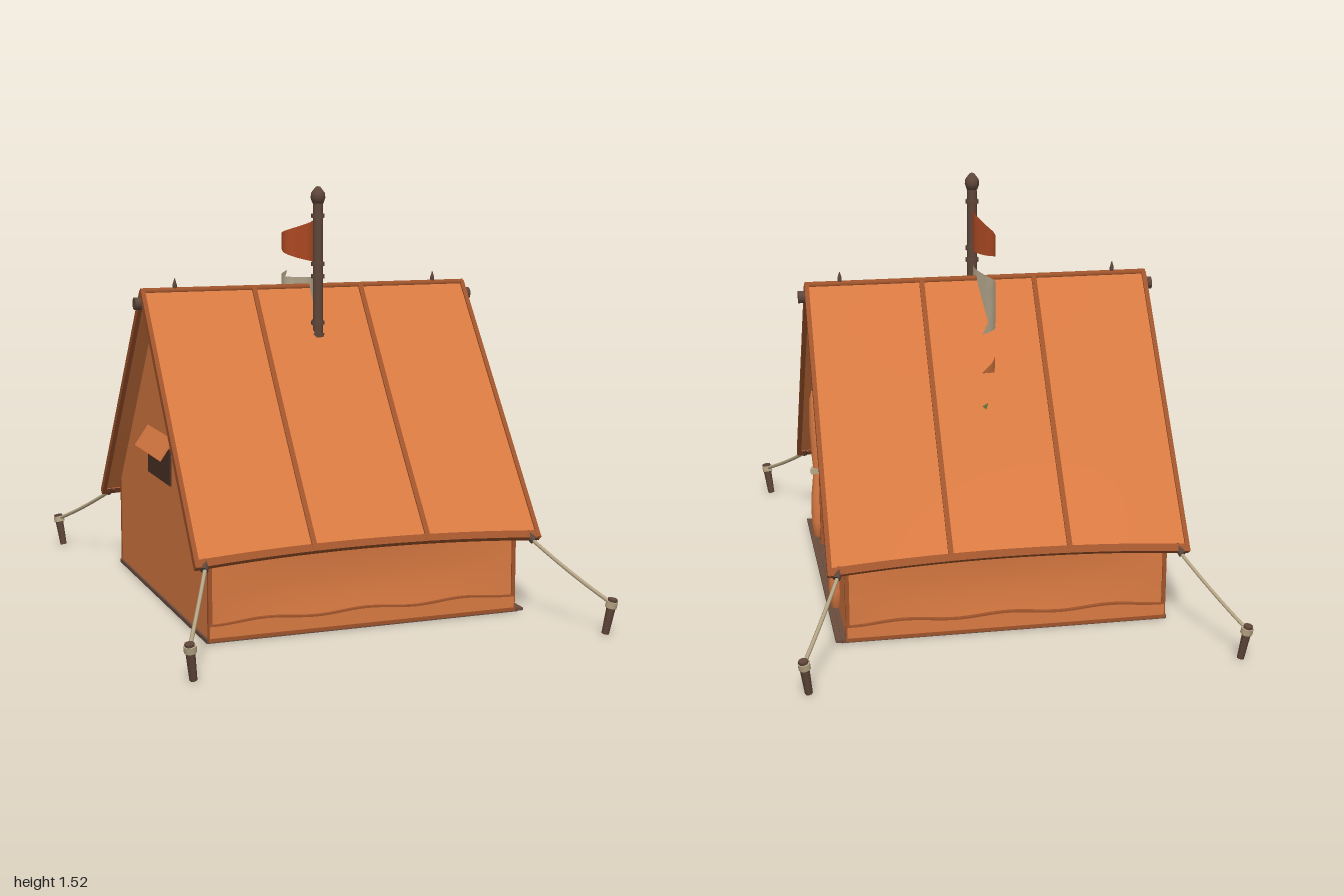
import * as THREE from 'three';
import { ParametricGeometry } from 'three/addons/geometries/ParametricGeometry.js';

const material = (name, color, side = THREE.FrontSide) => {
  const m = new THREE.MeshStandardMaterial({ color, side });
  m.name = name;
  return m;
};

export function createModel() {
  const canvas = material('orange canvas', 0xd97a42, THREE.DoubleSide);
  const trim = material('seam brown', 0xa0542b);
  const wood = material('dark wood', 0x5f463a);
  const ground = material('groundsheet brown', 0x6a4c3d);
  const dark = material('window dark', 0x4a3226);
  const rope = material('rope beige', 0xb9a888);
  const red = material('red cloth', 0xc5542a, THREE.DoubleSide);
  const cream = material('cream cloth', 0xcabb9d, THREE.DoubleSide);
  const green = material('green cloth', 0x7b9748, THREE.DoubleSide);

  const model = new THREE.Group();
  model.name = 'tent';
  const add = (parent, name, geo, mat, x = 0, y = 0, z = 0) => {
    const mesh = new THREE.Mesh(geo, mat);
    mesh.name = name;
    mesh.position.set(x, y, z);
    parent.add(mesh);
    return mesh;
  };
  const box = (parent, name, w, h, d, mat, x, y, z) =>
    add(parent, name, new THREE.BoxGeometry(w, h, d), mat, x, y, z);
  // Round (or square, with 4 sides) bar between two points
  const bar = (parent, name, a, b, r, mat, sides = 10, r2 = r) => {
    const A = new THREE.Vector3(...a), B = new THREE.Vector3(...b);
    const dir = B.clone().sub(A);
    const geo = new THREE.CylinderGeometry(r2, r, dir.length(), sides);
    if (sides === 4) { geo.rotateY(Math.PI / 4); geo.computeVertexNormals(); }
    const mesh = add(parent, name, geo, mat);
    mesh.position.copy(A).add(B).multiplyScalar(0.5);
    mesh.quaternion.setFromUnitVectors(new THREE.Vector3(0, 1, 0), dir.normalize());
    return mesh;
  };
  const warp = (geo, rule) => {
    const p = geo.attributes.position, v = new THREE.Vector3();
    for (let i = 0; i < p.count; i++) {
      rule(v.fromBufferAttribute(p, i));
      p.setXYZ(i, v.x, v.y, v.z);
    }
    geo.computeVertexNormals();
    return geo;
  };

  // Groundsheet
  box(model, 'groundsheet', 1.17, 0.014, 1.2, ground, 0.005, 0.007, 0);
  box(model, 'threshold', 0.05, 0.01, 1.2, ground, 0.585, 0.007, 0);

  // Roof slope pieces follow one sagging surface: t runs from ridge to eave
  const slope = (parent, name, w, t0, t1, thick, x, lift, mat) => {
    const geo = new THREE.BoxGeometry(w, 1, thick, Math.max(1, Math.round(w * 18)), 12, 1);
    warp(geo, v => {
      const X = v.x + x, k = 1 - (X / 0.636) ** 2;
      let t = t0 + (0.5 - v.y) * (t1 - t0);
      const n = v.z + lift - 0.008 * k * Math.sin(Math.PI * t);
      t -= 0.025 * k * t * t;
      v.set(X, 1.14 - 0.86 * t + 0.61 * n, 0.665 * t + 0.79 * n);
    });
    return add(parent, name, geo, mat);
  };

  // One long side, repeated for the other by a half turn
  for (const turn of [0, Math.PI]) {
    const side = new THREE.Group();
    side.name = turn ? 'backSide' : 'frontSide';
    side.rotation.y = turn;
    model.add(side);
    slope(side, 'roofPanel', 1.27, 0, 1, 0.014, 0, 0, canvas);
    for (const x of [-0.21, 0.21]) slope(side, 'roofSeam', 0.018, 0, 1, 0.008, x, 0.009, trim);
    for (const x of [-0.631, 0.631]) slope(side, 'roofEdge', 0.016, 0, 1, 0.026, x, 0, trim);
    slope(side, 'eaveTrim', 1.27, 0.976, 1.002, 0.024, 0, 0, trim);

    // Low wall, drawn in at the middle
    const wall = new THREE.BoxGeometry(1.14, 0.35, 0.01, 20, 8, 1);
    const dip = (x, y) => 0.018 * (1 - (x / 0.57) ** 2) * Math.sin(Math.PI * Math.min(1, y / 0.35));
    warp(wall, v => { v.y += 0.175; v.z += 0.593 - dip(v.x, v.y); });
    add(side, 'sideWall', wall, canvas);

    // Mud skirt with a wavy upper hem
    const wave = x => 0.068 + 0.006 * Math.cos(x * 17);
    const skirt = new THREE.BoxGeometry(1.14, 1, 0.012, 40, 3, 1);
    warp(skirt, v => { v.y = 0.01 + (v.y + 0.5) * (wave(v.x) - 0.01); v.z += 0.599; });
    add(side, 'mudSkirt', skirt, canvas);
    const hem = new THREE.BoxGeometry(1.14, 0.006, 0.014, 40, 1, 1);
    warp(hem, v => { v.y += wave(v.x); v.z += 0.6; });
    add(side, 'skirtHem', hem, trim);
    box(side, 'bottomPiping', 1.15, 0.012, 0.014, trim, 0, 0.012, 0.6);
    for (const x of [-0.568, 0.568])
      box(side, 'cornerPiping', 0.014, 0.33, 0.014, trim, x, 0.175, 0.596);

    // Guy ropes and stakes
    for (const s of [-1, 1]) {
      bar(side, 'ropeToggle', [s * 0.595, 0.3, 0.645], [s * 0.61, 0.275, 0.675], 0.014, wood, 8);
      const line = new THREE.QuadraticBezierCurve3(
        new THREE.Vector3(s * 0.6, 0.285, 0.66),
        new THREE.Vector3(s * 0.675, 0.185, 0.82),
        new THREE.Vector3(s * 0.748, 0.115, 0.975));
      add(side, 'guyRope', new THREE.TubeGeometry(line, 10, 0.007, 6), rope);
      bar(side, 'stake', [s * 0.735, 0.005, 0.967], [s * 0.752, 0.13, 0.984], 0.013, wood, 8, 0.017);
      bar(side, 'stakeRope', [s * 0.747, 0.1, 0.979], [s * 0.75, 0.122, 0.983], 0.021, rope, 10);
    }
  }

  // Gable ends; the doorway is cut through the right-hand one
  const gable = (name, x, door) => {
    const shape = new THREE.Shape([[-0.595, 0.005], [0.595, 0.005], [0.595, 0.35], [0, 1.12], [-0.595, 0.35]]
      .map(p => new THREE.Vector2(...p)));
    if (door) shape.holes.push(new THREE.Path([[-0.305, 0.012], [-0.305, 0.65], [-0.12, 0.9], [0.12, 0.9], [0.305, 0.65], [0.305, 0.012]]
      .map(p => new THREE.Vector2(...p))));
    const geo = new THREE.ExtrudeGeometry(shape, { depth: 0.01, bevelEnabled: false });
    geo.rotateY(Math.PI / 2);
    add(model, name, geo, canvas, x);
  };
  gable('doorGable', 0.562, true);
  gable('windowGable', -0.572, false);

  // Doorway frame and tied-back curtains
  box(model, 'doorHeader', 0.022, 0.014, 0.31, trim, 0.57, 0.905, 0);
  const roll = [[0, 0.03], [0.024, 0.035], [0.03, 0.1], [0.029, 0.2], [0.017, 0.3], [0.017, 0.32],
    [0.025, 0.4], [0.03, 0.5], [0.027, 0.6], [0.015, 0.638], [0, 0.64]].map(p => new THREE.Vector2(...p));
  for (const s of [-1, 1]) {
    box(model, 'doorPost', 0.022, 0.64, 0.016, trim, 0.568, 0.33, s * 0.31);
    bar(model, 'doorBrace', [0.56, 0.645, s * 0.3], [0.56, 0.9, s * 0.112], 0.014, wood, 4);
    const curtain = add(model, 'rolledCurtain', new THREE.LatheGeometry(roll, 16), canvas, 0.584, 0, s * 0.352);
    curtain.scale.x = 0.85;
    bar(model, 'curtainTie', [0.584, 0.3, s * 0.352], [0.584, 0.322, s * 0.352], 0.022, rope, 12);
    box(model, 'tieKnot', 0.014, 0.02, 0.02, rope, 0.602, 0.311, s * 0.338);
  }

  // Window with a propped flap on the left-hand gable
  box(model, 'windowPanel', 0.008, 0.13, 0.3, dark, -0.575, 0.52, 0);
  const flap = box(model, 'windowFlap', 0.008, 0.09, 0.34, canvas, -0.595, 0.59, 0);
  flap.rotation.z = -0.6;

  // Ridge pole, ridge piping, spikes and inner pole
  bar(model, 'ridgePole', [-0.645, 1.1, 0], [0.645, 1.1, 0], 0.018, wood, 12);
  for (const s of [-1, 1]) {
    bar(model, 'ridgePoleCap', [s * 0.638, 1.1, 0], [s * 0.662, 1.1, 0], 0.023, wood, 12);
    bar(model, 'ridgeSpike', [s * 0.51, 1.1, 0], [s * 0.51, 1.165, 0], 0.008, wood, 8);
    bar(model, 'ridgeSpikeTip', [s * 0.51, 1.165, 0], [s * 0.51, 1.188, 0], 0.008, wood, 8, 0.001);
  }
  bar(model, 'ridgePiping', [-0.637, 1.143, 0], [0.637, 1.143, 0], 0.012, trim, 8);
  bar(model, 'innerPole', [-0.5, 0.01, 0], [-0.5, 1.1, 0], 0.025, wood, 12);

  // Flag mast on a braced cross foot
  const mast = new THREE.Group();
  mast.name = 'flagMast';
  mast.position.z = 0.115;
  model.add(mast);
  bar(mast, 'mastPole', [0, 0.02, 0], [0, 1.47, 0], 0.021, wood, 12, 0.018);
  const knob = [[0, 1.455], [0.02, 1.455], [0.027, 1.475], [0.025, 1.493], [0.008, 1.515], [0, 1.517]];
  add(mast, 'mastKnob', new THREE.LatheGeometry(knob.map(p => new THREE.Vector2(...p)), 10), wood);
  for (const y of [0.6, 0.75, 0.81, 0.975, 1.02, 1.19, 1.235, 1.41])
    bar(mast, 'mastRing', [0, y - 0.007, 0], [0, y + 0.007, 0], 0.025, wood, 12);
  bar(mast, 'mastSocket', [0, 0.03, 0], [0, 0.15, 0], 0.045, wood, 8, 0.036);
  bar(mast, 'braceCollar', [0, 0.29, 0], [0, 0.33, 0], 0.03, wood, 10);
  box(mast, 'footBeam', 0.05, 0.03, 0.47, wood, 0, 0.028, 0);
  box(mast, 'footBeam', 0.47, 0.03, 0.05, wood, 0, 0.028, 0);
  for (const [dx, dz] of [[1, 0], [-1, 0], [0, 1], [0, -1]])
    bar(mast, 'footBrace', [dx * 0.19, 0.04, dz * 0.19], [dx * 0.015, 0.315, dz * 0.015], 0.013, wood, 4);

  // Waving flags: pointed pennants and swallowtails
  const drift = new THREE.CatmullRomCurve3([[0, 0.1], [0.008, 0.02], [-0.012, -0.08], [-0.032, -0.17], [-0.012, -0.25], [0.045, -0.345]]
    .map(([x, z]) => new THREE.Vector3(x, 0, z)));
  const flag = (name, low, high, pointed, mat) => {
    const geo = new ParametricGeometry((u, v, out) => {
      const reach = pointed ? u : u * (1 - 0.23 * (1 - Math.abs(2 * v - 1)));
      drift.getPoint(reach, out);
      const h = high - low, mid = (high + low) / 2;
      const taper = pointed ? 1 - 0.99 * u ** 1.3 : 1 - 0.1 * u;
      out.y = mid + (v - 0.5) * h * taper - 0.014 * Math.sin(u * Math.PI) + (pointed ? -0.014 * u : 0);
    }, 24, 10);
    add(model, name, geo, mat);
  };
  flag('redPennant', 1.24, 1.405, true, red);
  flag('creamSwallowtail', 1.01, 1.19, false, cream);
  flag('orangePennant', 0.81, 0.975, true, canvas);
  flag('greenSwallowtail', 0.585, 0.765, false, green);

  return model;
}
